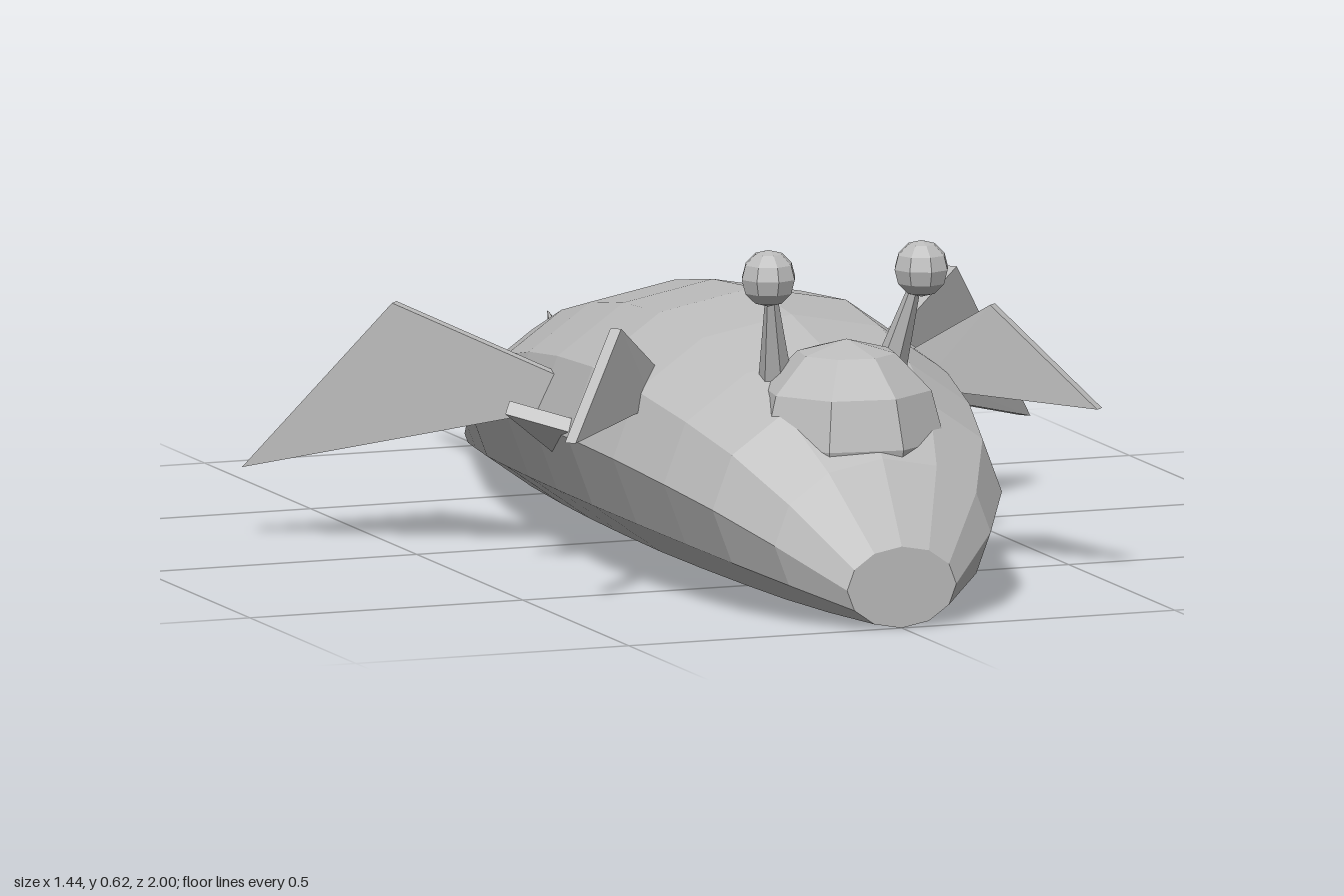
import * as THREE from 'three';
import { ConvexGeometry } from 'three/addons/geometries/ConvexGeometry.js';

const V = (x, y, z) => new THREE.Vector3(x, y, z);

export function createModel() {
  const model = new THREE.Group();
  model.name = 'seaSlug';
  const grey = new THREE.MeshStandardMaterial({ color: 0xbcbcbc });
  grey.name = 'plain grey';

  // Faceted mesh
  function add(name, geometry) {
    const g = geometry.index ? geometry.toNonIndexed() : geometry;
    g.computeVertexNormals();
    const mesh = new THREE.Mesh(g, grey);
    mesh.name = name;
    model.add(mesh);
    return mesh;
  }

  // Thin plate around a nearly flat outline
  function plate(name, points, thickness) {
    const a = points[1].clone().sub(points[0]);
    const b = points[2].clone().sub(points[0]);
    const n = a.cross(b).setLength(thickness / 2);
    const corners = points.flatMap(p => [p.clone().add(n), p.clone().sub(n)]);
    add(name, new ConvexGeometry(corners));
  }

  // Tapered rod from one point to another
  function taper(name, from, to, r0, r1, sides) {
    const dir = to.clone().sub(from);
    const g = new THREE.CylinderGeometry(r1, r0, dir.length(), sides);
    g.applyQuaternion(new THREE.Quaternion().setFromUnitVectors(V(0, 1, 0), dir.normalize()));
    const mid = from.clone().add(to).multiplyScalar(0.5);
    g.translate(mid.x, mid.y, mid.z);
    add(name, g);
  }

  // Body: twelve-sided tube, squashed, with every ring resting on the ground
  const rings = [
    [0.045, -0.945], [0.125, -0.73], [0.222, -0.46], [0.275, -0.25], [0.308, -0.07],
    [0.329, 0.11], [0.34, 0.3], [0.327, 0.48], [0.3, 0.65], [0.265, 0.79], [0.198, 0.91], [0.1, 1],
  ];
  const profile = [[0, -0.945], ...rings, [0, 1]].map(([r, z]) => new THREE.Vector2(r, z));
  const body = new THREE.LatheGeometry(profile, 12).rotateX(Math.PI / 2);
  const pos = body.attributes.position;
  const squash = 0.705;
  for (let i = 0; i < pos.count; i++) {
    const ring = rings.find(([, z]) => Math.abs(z - pos.getZ(i)) < 0.01);
    pos.setY(i, (pos.getY(i) + ring[0]) * squash);
  }
  add('body', body);

  // Head dome
  add('head', new THREE.SphereGeometry(0.17, 8, 6).rotateY(0.24).translate(0, 0.29, 0.74));

  for (const [side, s] of [['left', 1], ['right', -1]]) {
    const P = (x, y, z) => V(s * x, y, z);

    // Eye on a stalk
    taper(side + 'EyeStalk', P(0.103, 0.38, 0.67), P(0.135, 0.56, 0.73), 0.03, 0.008, 6);
    add(side + 'Eye', new THREE.SphereGeometry(0.049, 8, 6).translate(s * 0.14, 0.572, 0.732));

    // Front fin
    plate(side + 'FrontFin', [
      P(0.485, 0.3, 0.685), P(0.345, 0.467, 0.54), P(0.23, 0.37, 0.425), P(0.25, 0.315, 0.45),
    ], 0.02);

    // Large rear fin
    plate(side + 'RearFin', [
      P(0.715, 0.125, -0.26), P(0.51, 0.425, -0.08), P(0.28, 0.315, 0.125), P(0.28, 0.26, 0.125),
    ], 0.022);

    // Small side spike
    plate(side + 'SideSpike', [
      P(0.425, 0.287, 0.235), P(0.3, 0.25, 0.31), P(0.3, 0.195, 0.155),
    ], 0.025);

    // Tail spike
    taper(side + 'TailSpike', P(0.07, 0.15, -0.725), P(0.128, 0.225, -0.998), 0.043, 0.001, 6);
  }

  return model;
}
